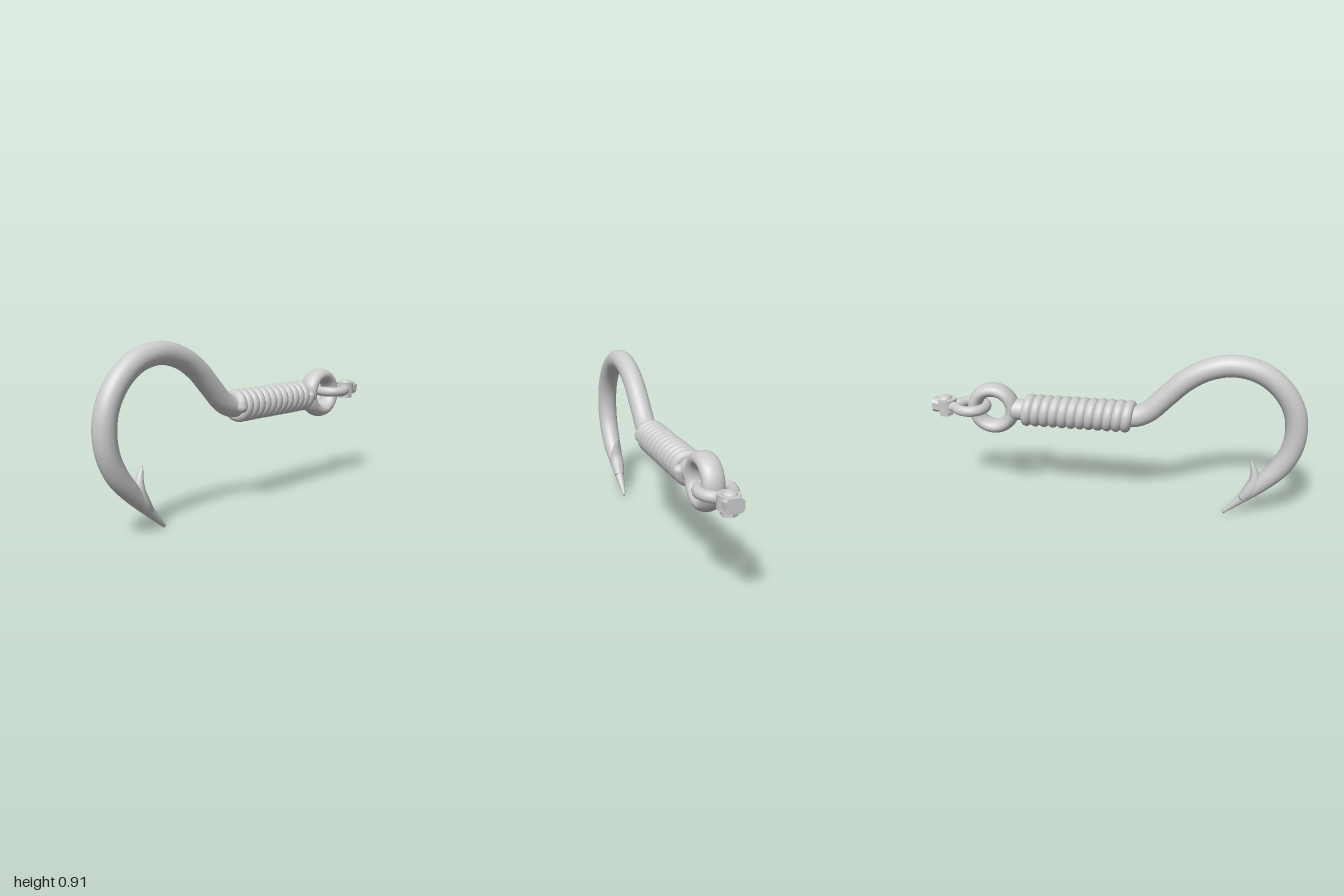
import * as THREE from 'three';

const material = new THREE.MeshStandardMaterial({ color: 0xcccccc });
const AXIS_Y = 0.55; // height of the shank axis

function add(parent, name, geometry, x = 0, y = 0, z = 0) {
  const mesh = new THREE.Mesh(geometry, material);
  mesh.name = name;
  mesh.position.set(x, y, z);
  parent.add(mesh);
  return mesh;
}

// Round sweep in the x = 0 plane; each station is [z, y, radius]
function taperedSweep(stations, steps, widen = 1, sides = 28) {
  const curve = new THREE.CatmullRomCurve3(stations.map(s => new THREE.Vector3(...s)));
  const pos = [], index = [];
  for (let i = -1; i <= steps + 1; i++) {
    const t = THREE.MathUtils.clamp(i / steps, 0, 1);
    const p = curve.getPoint(t), d = curve.getTangent(t);
    const len = Math.hypot(d.x, d.y), tz = d.x / len, ty = d.y / len;
    const r = i < 0 || i > steps ? 0 : p.z; // closed ends
    for (let j = 0; j < sides; j++) {
      const a = (j / sides) * Math.PI * 2, n = r * Math.sin(a);
      pos.push(r * widen * Math.cos(a), p.y + n * tz, p.x - n * ty);
    }
  }
  for (let i = 0; i < steps + 2; i++) {
    for (let j = 0; j < sides; j++) {
      const k = (j + 1) % sides;
      const a = i * sides + j, b = i * sides + k;
      index.push(a, b, a + sides, b, b + sides, a + sides);
    }
  }
  const g = new THREE.BufferGeometry();
  g.setAttribute('position', new THREE.Float32BufferAttribute(pos, 3));
  g.setIndex(index);
  g.computeVertexNormals();
  return g;
}

export function createModel() {
  const model = new THREE.Group();
  model.name = 'fishHook';

  // Shank, bend and tapering point in one sweep
  add(model, 'hookBody', taperedSweep([
    [-0.56, AXIS_Y, 0.06], [-0.48, AXIS_Y, 0.056], [-0.2, AXIS_Y, 0.056], [0.04, AXIS_Y, 0.056],
    [0.11, 0.553, 0.057], [0.175, 0.583, 0.057], [0.27, 0.675, 0.057], [0.36, 0.762, 0.057],
    [0.47, 0.83, 0.057], [0.61, 0.861, 0.057], [0.75, 0.83, 0.057], [0.86, 0.745, 0.057],
    [0.925, 0.635, 0.057], [0.943, 0.52, 0.057], [0.925, 0.41, 0.056], [0.875, 0.312, 0.054],
    [0.81, 0.236, 0.048], [0.74, 0.162, 0.036], [0.665, 0.088, 0.022], [0.594, 0.018, 0.009]
  ], 140));

  // Barb rising from the point
  add(model, 'barb', taperedSweep([
    [0.69, 0.115, 0.024], [0.728, 0.165, 0.034], [0.752, 0.22, 0.032],
    [0.748, 0.275, 0.021], [0.735, 0.318, 0.01], [0.727, 0.342, 0.003]
  ], 36, 1.15));

  // Cord wound round the shank
  const turns = 12, winding = [];
  for (let i = 0; i <= turns * 16; i++) {
    const a = (i / 16) * Math.PI * 2;
    winding.push(new THREE.Vector3(0.058 * Math.cos(a), AXIS_Y + 0.058 * Math.sin(a),
      0.09 - 0.585 * i / (turns * 16)));
  }
  const coil = new THREE.CatmullRomCurve3(winding);
  add(model, 'winding', new THREE.TubeGeometry(coil, turns * 32, 0.03, 14));
  for (const p of [winding[0], winding[winding.length - 1]]) {
    add(model, 'windingEnd', new THREE.SphereGeometry(0.03, 16, 12), p.x, p.y, p.z);
  }

  // Eye ring, broader sideways than in its own plane
  const eye = add(model, 'eyeRing', new THREE.TorusGeometry(0.105, 0.037, 24, 56), 0, AXIS_Y, -0.665);
  eye.rotation.y = Math.PI / 2;
  eye.scale.z = 1.5;

  // Shackle through the eye
  const shackle = new THREE.Group();
  shackle.name = 'shackle';
  shackle.position.y = AXIS_Y;
  model.add(shackle);
  const half = [[0.018, -0.91], [0.03, -0.875], [0.065, -0.838], [0.079, -0.785], [0.056, -0.735]];
  const bow = [
    ...half.map(([x, z]) => new THREE.Vector3(x, 0, z)),
    new THREE.Vector3(0, 0, -0.713),
    ...half.slice().reverse().map(([x, z]) => new THREE.Vector3(-x, 0, z))
  ];
  add(shackle, 'bow', new THREE.TubeGeometry(new THREE.CatmullRomCurve3(bow), 72, 0.028, 18));
  add(shackle, 'boltSeat', new THREE.CylinderGeometry(0.053, 0.053, 0.068, 32), 0, 0.003, -0.932);

  // Chamfered block closing the back end
  const w = 0.046, h = 0.035, c = 0.016;
  const outline = new THREE.Shape([
    [-w + c, -h], [w - c, -h], [w, -h + c], [w, h - c],
    [w - c, h], [-w + c, h], [-w, h - c], [-w, -h + c]
  ].map(p => new THREE.Vector2(...p)));
  add(shackle, 'endBlock', new THREE.ExtrudeGeometry(outline, { depth: 0.07, bevelEnabled: false }), 0, 0.003, -1);

  // Bolt with a domed head above and a hexagonal nut below
  const head = add(shackle, 'boltHead',
    new THREE.SphereGeometry(0.036, 28, 10, 0, Math.PI * 2, 0, Math.PI / 2), 0, 0.036, -0.94);
  head.scale.y = 0.55;
  const nut = new THREE.CylinderGeometry(0.04, 0.04, 0.03, 6).toNonIndexed();
  nut.computeVertexNormals();
  add(shackle, 'nut', nut, 0, -0.042, -0.94);

  return model;
}
